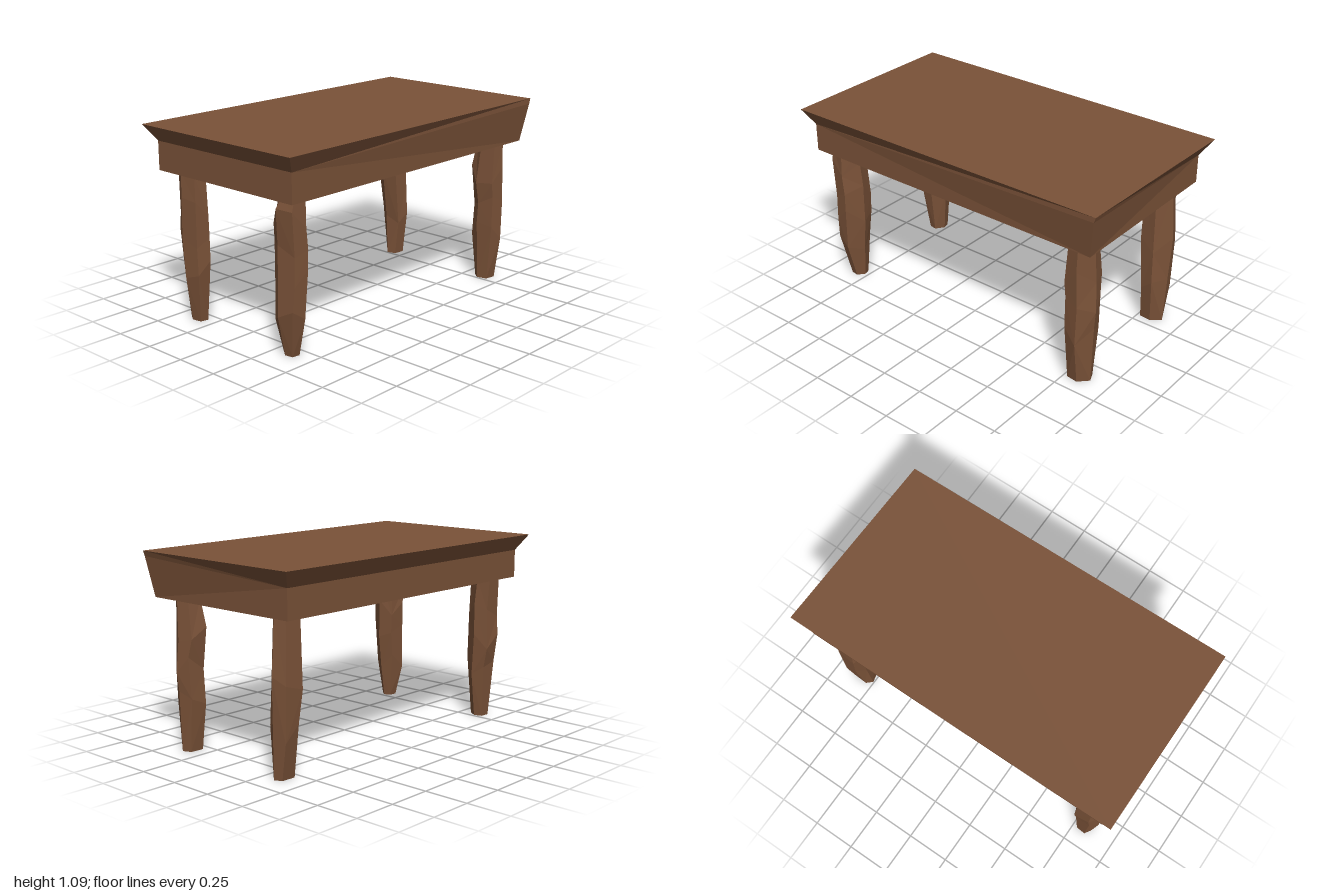
import * as THREE from 'three';

const wood = new THREE.MeshStandardMaterial({ color: 0x7a5238, flatShading: true, roughness: 1 });

// Closed faceted solid through rings of [x, y, z] points (clockwise seen from above, bottom ring first)
function loft(name, rings) {
  const pos = [];
  const tri = (...corners) => corners.forEach((p) => pos.push(...p));
  const n = rings[0].length;
  for (let r = 0; r < rings.length - 1; r++) {
    for (let i = 0; i < n; i++) {
      const j = (i + 1) % n;
      const a = rings[r][i], b = rings[r][j];
      const a2 = rings[r + 1][i], b2 = rings[r + 1][j];
      // split each quad along its lower diagonal
      if (a2[1] + b[1] <= a[1] + b2[1]) {
        tri(b, a, a2);
        tri(b, a2, b2);
      } else {
        tri(b, a, b2);
        tri(a, a2, b2);
      }
    }
  }
  const low = rings[0], high = rings[rings.length - 1];
  for (let i = 1; i < n - 1; i++) {
    tri(low[0], low[i], low[i + 1]);
    tri(high[0], high[i + 1], high[i]);
  }
  const geometry = new THREE.BufferGeometry();
  geometry.setAttribute('position', new THREE.Float32BufferAttribute(pos, 3));
  geometry.computeVertexNormals();
  const mesh = new THREE.Mesh(geometry, wood);
  mesh.name = name;
  return mesh;
}

// Uneven six-sided section, as fractions of the leg's bounds at each height
const section = [[0, 0.35], [0.25, 0], [0.85, 0.05], [1, 0.5], [0.6, 1], [0.1, 0.92]];

// Rough-hewn leg from rows of [y, xMin, xMax, zMin, zMax]
function leg(name, rows, phase) {
  const rings = rows.map(([y, x0, x1, z0, z1], r) => section.map(([u, v], i) => {
    // small chisel-like unevenness in the height of the middle rings
    const inner = r > 0 && r < rows.length - 1;
    const dy = inner ? 0.05 * Math.sin(i * 2.3 + r * 1.7 + phase) : 0;
    return [x0 + u * (x1 - x0), y + dy, z0 + v * (z1 - z0)];
  }));
  return loft(name, rings);
}

export function createModel() {
  const model = new THREE.Group();
  model.name = 'table';

  // Tabletop: straight apron flaring out to a wider top, one corner skewed
  model.add(loft('tabletop', [
    [[-0.94, 0.84, -0.5], [0.94, 0.84, -0.5], [0.94, 0.84, 0.5], [-0.94, 0.84, 0.5]],
    [[-0.94, 1.0, -0.5], [0.94, 1.0, -0.5], [0.975, 1.06, 0.535], [-0.94, 1.0, 0.5]],
    [[-1, 1.09, -0.555], [1, 1.09, -0.555], [0.985, 1.09, 0.535], [-1, 1.09, 0.55]],
  ]));

  // Legs, each hewn a little differently
  model.add(leg('frontLeftLeg', [
    [0, 0.76, 0.89, 0.32, 0.425],
    [0.3, 0.75, 0.9, 0.29, 0.46],
    [0.48, 0.75, 0.91, 0.3, 0.46],
    [0.64, 0.74, 0.9, 0.28, 0.46],
    [0.84, 0.76, 0.89, 0.31, 0.455],
  ], 0));
  model.add(leg('frontRightLeg', [
    [0, -0.855, -0.77, 0.32, 0.4],
    [0.22, -0.9, -0.75, 0.29, 0.45],
    [0.42, -0.895, -0.73, 0.285, 0.46],
    [0.58, -0.89, -0.73, 0.28, 0.46],
    [0.74, -0.905, -0.74, 0.29, 0.46],
    [0.84, -0.885, -0.75, 0.32, 0.455],
  ], 1.5));
  model.add(leg('backRightLeg', [
    [0, -0.856, -0.765, -0.41, -0.31],
    [0.3, -0.89, -0.74, -0.43, -0.275],
    [0.47, -0.89, -0.735, -0.455, -0.28],
    [0.65, -0.89, -0.74, -0.445, -0.28],
    [0.84, -0.88, -0.75, -0.455, -0.29],
  ], 3));
  model.add(leg('backLeftLeg', [
    [0, 0.755, 0.89, -0.385, -0.295],
    [0.25, 0.76, 0.9, -0.425, -0.27],
    [0.5, 0.73, 0.91, -0.435, -0.275],
    [0.84, 0.735, 0.89, -0.42, -0.285],
  ], 4.5));

  return model;
}
